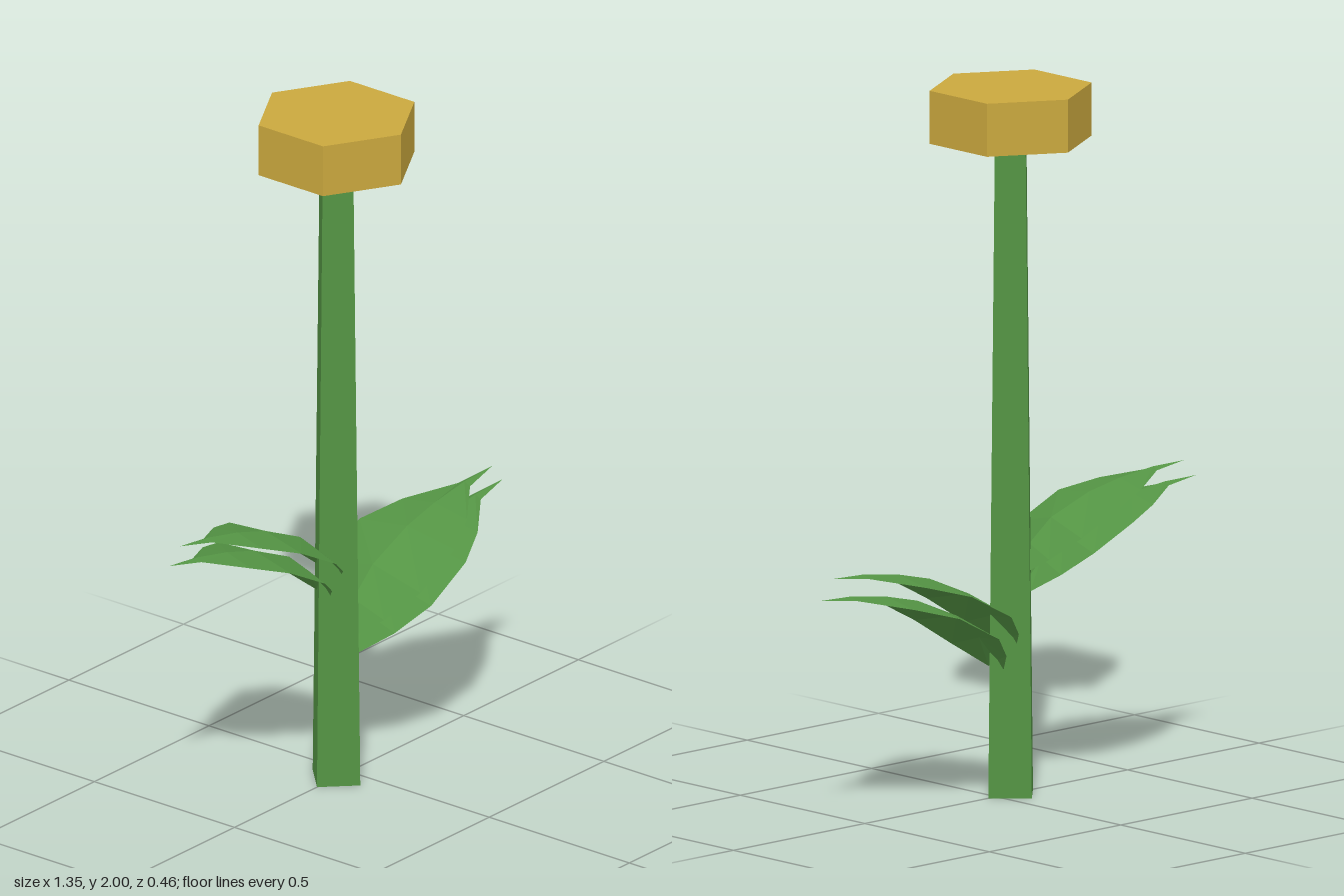
import * as THREE from 'three';

// Leaf stations: distance from stem axis, midrib height, edge height, half width
const STATIONS = [
  [0.055, 0.385, 0.365, 0.03],
  [0.12, 0.46, 0.425, 0.11],
  [0.205, 0.535, 0.495, 0.17],
  [0.355, 0.6, 0.575, 0.17],
  [0.475, 0.63, 0.61, 0.115],
  [0.605, 0.65, 0.64, 0.02],
  [0.725, 0.655, 0.655, 0],
];

// Arched sheet folded along its midrib
function leafSheet() {
  const pos = [], idx = [];
  STATIONS.forEach(([u, mid, edge, w], i) => {
    pos.push(u, edge, -w, u, mid, 0, u, edge, w);
    if (i === STATIONS.length - 1) return;
    for (let k = 0; k < 2; k++) {
      const a = i * 3 + k, b = a + 3;
      idx.push(a, a + 1, b);
      if (i < STATIONS.length - 2) idx.push(a + 1, b + 1, b);
    }
  });
  const g = new THREE.BufferGeometry();
  g.setAttribute('position', new THREE.Float32BufferAttribute(pos, 3));
  g.setIndex(idx);
  const flat = g.toNonIndexed();
  flat.computeVertexNormals();
  return flat;
}

export function createModel() {
  const material = (name, color, extra) =>
    new THREE.MeshStandardMaterial({ name, color, flatShading: true, ...extra });
  const green = material('leaf green', 0x549444, { side: THREE.DoubleSide });
  const gold = material('flower gold', 0xcaa83e);

  const model = new THREE.Group();
  model.name = 'flower';
  const plant = new THREE.Group();
  plant.name = 'plant';
  plant.position.x = -0.055;
  model.add(plant);

  const addMesh = (parent, name, geometry, mat, x, y) => {
    const mesh = new THREE.Mesh(geometry, mat);
    mesh.name = name;
    mesh.position.set(x, y, 0);
    parent.add(mesh);
  };

  // Square tapered stem and hexagonal flower head
  addMesh(plant, 'stem', new THREE.CylinderGeometry(0.06, 0.085, 1.86, 4), green, 0, 0.93);
  addMesh(plant, 'flowerHead', new THREE.CylinderGeometry(0.23, 0.23, 0.15, 6), gold, 0, 1.925);

  // Each leaf is a pair of parallel sheets
  const sheet = leafSheet();
  const addLeaf = (name, y, scale, turn) => {
    const leaf = new THREE.Group();
    leaf.name = name;
    leaf.position.y = y;
    leaf.scale.setScalar(scale);
    leaf.rotation.y = turn;
    addMesh(leaf, 'lowerSheet', sheet, green, 0, 0);
    addMesh(leaf, 'upperSheet', sheet, green, -0.047, 0.055);
    plant.add(leaf);
  };
  addLeaf('leftLeaf', 0, 1, 0);
  addLeaf('rightLeaf', 0.255, 0.865, Math.PI - 0.142);

  return model;
}
